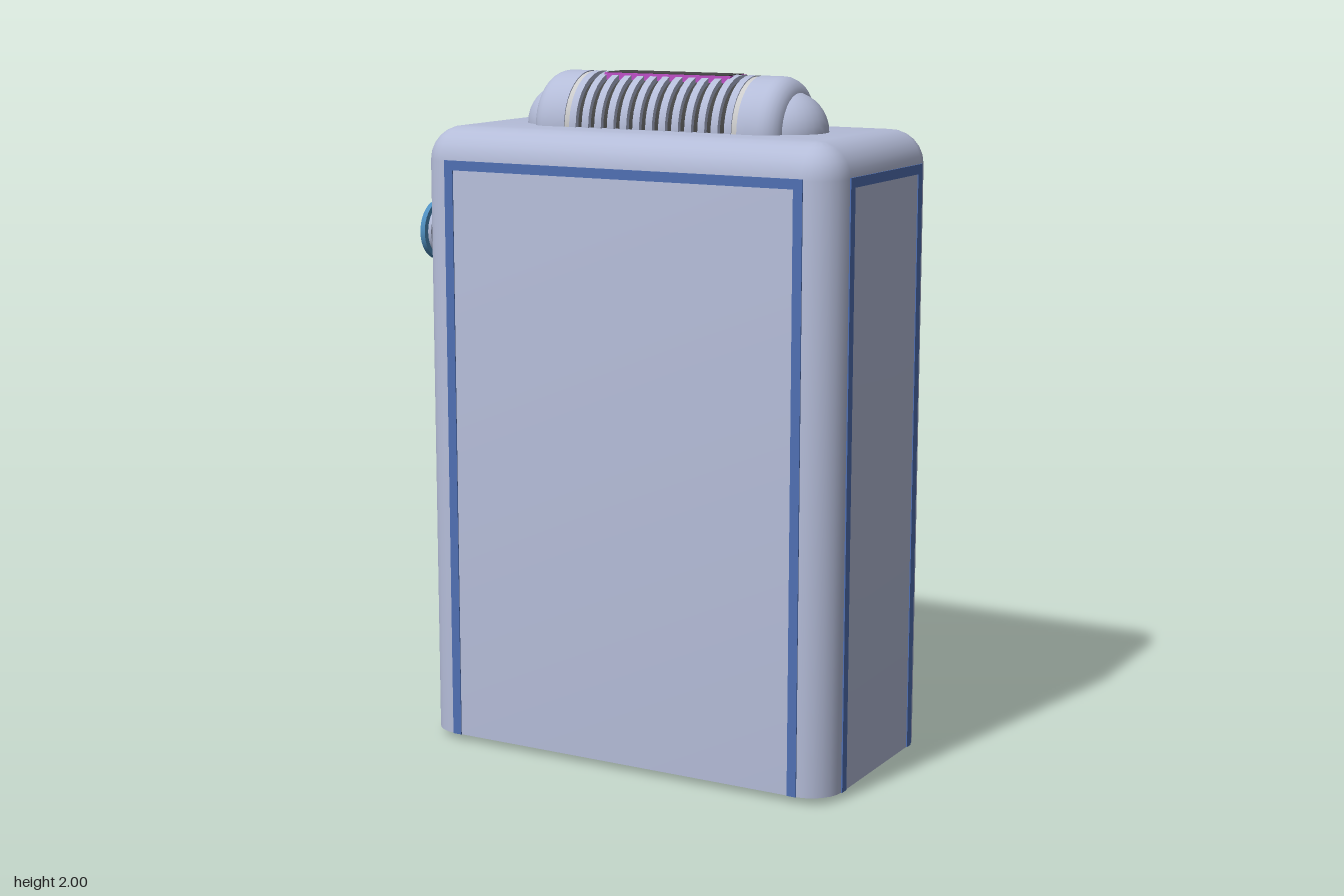
import * as THREE from 'three';
import { toCreasedNormals } from 'three/addons/utils/BufferGeometryUtils.js';

const CX = 0.08, CZ = 0.045, HX = 0.67, HZ = 0.335, BASE = 0.02, TOP = 1.845, R = 0.1;

const mat = (color) => new THREE.MeshStandardMaterial({ color });
const SHELL = mat(0xb4bcd8), BLUE = mat(0x5070b4), DARK = mat(0x444444), GREY = mat(0xcccccc);
const RED = mat(0xe05050), CAP = mat(0x4f8fc0), PINK = mat(0xc050c8);

function createModel() {
  const model = new THREE.Group();

  const add = (name, geometry, material, x = 0, y = 0, z = 0, parent = model) => {
    const mesh = new THREE.Mesh(geometry, material);
    mesh.name = name;
    mesh.position.set(x, y, z);
    parent.add(mesh);
    return mesh;
  };
  const box = (name, material, x0, x1, y0, y1, z0, z1) =>
    add(name, new THREE.BoxGeometry(x1 - x0, y1 - y0, z1 - z0), material,
      (x0 + x1) / 2, (y0 + y1) / 2, (z0 + z1) / 2);
  // Lathe whose axis points to -x; points are [radius, distance along the axis]
  const turned = (points, segments = 36) => {
    const profile = points.map(([r, a]) => new THREE.Vector2(r, a));
    return toCreasedNormals(new THREE.LatheGeometry(profile, segments), 0.6).rotateZ(Math.PI / 2);
  };

  add('body', bodyGeometry(), SHELL, CX, 0, CZ);

  // Blue trim lines framing all four faces
  const proud = 0.003, w = 0.028, lineTop = 1.75;
  for (const s of [-1, 1]) {
    const zf = CZ + s * HZ, xf = CX + s * HX;
    const ex = HX - R + 0.005, ez = HZ - R + 0.005;
    for (const t of [-1, 1]) {
      const x = CX + t * (ex - w / 2), z = CZ + t * (ez - w / 2);
      box('faceTrim', BLUE, x - w / 2, x + w / 2, BASE, lineTop, zf - proud, zf + proud);
      box('sideTrim', BLUE, xf - proud, xf + proud, BASE, lineTop, z - w / 2, z + w / 2);
    }
    box('faceTopTrim', BLUE, CX - ex, CX + ex, lineTop - w, lineTop, zf - proud, zf + proud);
    box('sideTopTrim', BLUE, xf - proud, xf + proud, lineTop - w, lineTop, CZ - ez, CZ + ez);
  }

  // Ribbed capsule lying on the top
  const capsule = new THREE.Group();
  capsule.name = 'topCapsule';
  capsule.position.set(CX, TOP, CZ);
  model.add(capsule);
  add('capsuleCore', turned([[0.14, -0.34], [0.14, 0.34]]), DARK, 0, 0, 0, capsule);
  const endProfile = [[0.145, 0.28], [0.155, 0.28]];
  for (let i = 0; i <= 6; i++) {
    const a = (i / 6) * Math.PI / 2;
    endProfile.push([0.1 + 0.055 * Math.cos(a), 0.345 + 0.055 * Math.sin(a)]);
  }
  endProfile.push([0, 0.4]);
  for (const s of [-1, 1]) {
    const end = add('capsuleEnd', turned(endProfile), SHELL, 0, 0, 0, capsule);
    const collar = add('capsuleCollar', turned([[0.14, 0.26], [0.152, 0.26], [0.152, 0.33]]), GREY, 0, 0, 0, capsule);
    if (s > 0) end.rotation.y = collar.rotation.y = Math.PI;
    add('endDome', new THREE.SphereGeometry(0.115, 28, 18), SHELL, s * 0.365, 0, 0, capsule);
  }
  const ribCount = 13;
  for (let i = 0; i < ribCount; i++) {
    const x = (i - (ribCount - 1) / 2) * 0.042;
    add('capsuleRib', turned([[0.13, -0.011], [0.155, -0.011], [0.155, 0.011], [0.13, 0.011]]), SHELL, x, 0, 0, capsule);
  }
  // Dark window with a pink edge, and a pink bar behind the ribs
  add('windowEdge', new THREE.BoxGeometry(0.41, 0.02, 0.106), PINK, 0, 0.143, -0.002, capsule);
  add('window', new THREE.BoxGeometry(0.396, 0.02, 0.096), DARK, 0, 0.1455, -0.002, capsule);
  const bar = add('innerBar', new THREE.BoxGeometry(0.26, 0.014, 0.05), PINK, 0, 0.067, -0.126, capsule);
  bar.rotation.x = -1.08;

  // Stepped knob on the side
  const knob = new THREE.Group();
  knob.name = 'sideKnob';
  knob.position.set(CX - HX, 1.5, CZ);
  model.add(knob);
  const disc = (name, material, r, a0, a1) =>
    add(name, turned([[0, a0], [r, a0], [r, a1], [0, a1]]), material, 0, 0, 0, knob);
  disc('knobFlange', DARK, 0.165, -0.01, 0.007);
  disc('knobCore', DARK, 0.1, 0, 0.088);
  for (const a of [0.012, 0.036]) disc('knobRib', SHELL, 0.115, a, a + 0.015);
  disc('knobFace', SHELL, 0.115, 0.06, 0.092);
  disc('knobNeck', DARK, 0.07, 0.08, 0.15);
  for (const a of [0.097, 0.114, 0.131]) disc('neckRib', SHELL, 0.082, a, a + 0.011);
  disc('knobCap', CAP, 0.09, 0.149, 0.165);

  // Arched lamp strip on the back, with a raised rim
  const back = CZ - HZ;
  const arch = (half) => {
    const s = new THREE.Shape();
    s.moveTo(-half, BASE);
    s.lineTo(half, BASE);
    s.lineTo(half, 1.54);
    s.absarc(0, 1.54, half, 0, Math.PI, false);
    return s;
  };
  const extrude = (shape, depth) => new THREE.ExtrudeGeometry(shape, { depth, bevelEnabled: false, curveSegments: 16 });
  add('lampStrip', extrude(arch(0.12), 0.01), GREY, CX, 0, back - 0.003);
  const rim = arch(0.122);
  rim.holes.push(arch(0.112));
  add('stripRim', extrude(rim, 0.012), GREY, CX, 0, back - 0.007);

  for (let i = 0; i < 5; i++)
    add('lamp', new THREE.SphereGeometry(0.095, 24, 18), RED, CX, 0.38 + i * 0.29, back);

  // Fins at the foot of the strip
  box('finBacking', DARK, CX - 0.112, CX + 0.112, BASE, 0.36, back - 0.004, back + 0.02);
  for (let i = 0; i < 6; i++) {
    const x = CX - 0.11 + i * 0.044;
    box('fin', GREY, x - 0.012, x + 0.012, 0, 0.36, back - 0.009, back + 0.04);
  }
  return model;
}

// Rounded rectangle rings stacked upward, the top edge rolled over in a quarter circle
function bodyGeometry() {
  const steps = 6, perRing = 4 * (steps + 1);
  const pos = [], index = [];
  const ring = (y, inset) => {
    const r = R - inset;
    for (let c = 0; c < 4; c++) {
      const sx = c === 0 || c === 3 ? 1 : -1, sz = c < 2 ? 1 : -1;
      for (let i = 0; i <= steps; i++) {
        const a = (c + i / steps) * Math.PI / 2;
        pos.push(sx * (HX - R) + r * Math.cos(a), y, sz * (HZ - R) + r * Math.sin(a));
      }
    }
  };
  ring(BASE, 0);
  for (let k = 0; k <= steps; k++) {
    const a = (k / steps) * Math.PI / 2;
    ring(TOP - R + R * Math.sin(a), R * (1 - Math.cos(a)) * 0.999);
  }
  const rings = steps + 2;
  for (let k = 0; k < rings - 1; k++)
    for (let i = 0; i < perRing; i++) {
      const j = (i + 1) % perRing, a = k * perRing, b = a + perRing;
      index.push(a + i, b + i, a + j, a + j, b + i, b + j);
    }
  // Close the bottom and the top with fans
  const bottom = pos.length / 3, last = (rings - 1) * perRing;
  pos.push(0, BASE, 0, 0, TOP, 0);
  for (let i = 0; i < perRing; i++) {
    const j = (i + 1) % perRing;
    index.push(bottom, i, j, bottom + 1, last + j, last + i);
  }
  const g = new THREE.BufferGeometry();
  g.setAttribute('position', new THREE.Float32BufferAttribute(pos, 3));
  g.setIndex(index);
  return toCreasedNormals(g, 0.6);
}

export { createModel };
